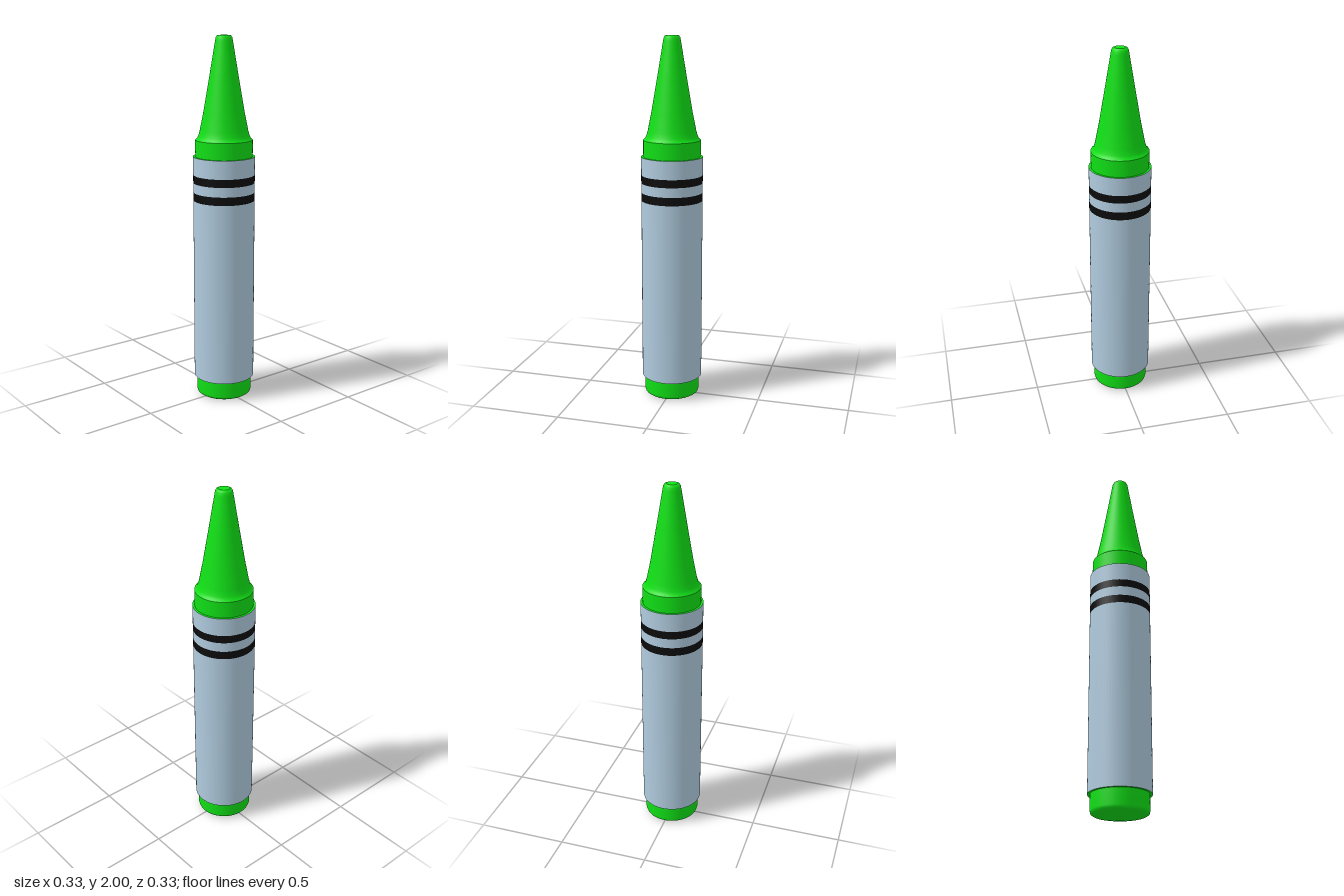
import * as THREE from 'three';

const SEGMENTS = 64;

export function createModel() {
  const model = new THREE.Group();
  const wax = new THREE.MeshStandardMaterial({ color: 0x10e015 });
  const paper = new THREE.MeshStandardMaterial({ color: 0xb0cbde });
  const ink = new THREE.MeshStandardMaterial({ color: 0x0c0c0c });

  // Turned surface from [radius, height] pairs, listed from bottom to top
  function turn(name, material, profile) {
    const points = profile.map(([r, y]) => new THREE.Vector2(r, y));
    const mesh = new THREE.Mesh(new THREE.LatheGeometry(points, SEGMENTS), material);
    mesh.name = name;
    model.add(mesh);
  }

  const R = 0.167;

  // Wax butt with a softly rounded lower edge
  turn('buttEnd', wax, [[0, 0], [0.11, 0.003], [0.14, 0.007], [0.149, 0.013], [0.153, 0.026], [0.153, 0.11]]);
  turn('lowerStep', wax, [[0.153, 0.11], [R, 0.11]]);

  // Paper wrapper with two printed bands, stacked flush
  const heights = [0.11, 1.12, 1.165, 1.217, 1.26, 1.36];
  for (let i = 0; i < heights.length - 1; i++) {
    const isBand = i % 2 === 1;
    turn(isBand ? 'band' : 'wrapper', isBand ? ink : paper, [[R, heights[i]], [R, heights[i + 1]]]);
  }

  // Step and collar below the tip
  turn('upperStep', wax, [[R, 1.36], [0.155, 1.36]]);
  turn('collar', wax, [[0.155, 1.36], [0.155, 1.45]]);

  // Tapered tip: flared shoulder, long cone and rounded flat top
  turn('tip', wax, [
    [0.155, 1.45], [0.145, 1.458], [0.138, 1.472], [0.13, 1.5], [0.11, 1.6], [0.0755, 1.8],
    [0.047, 1.97], [0.044, 1.987], [0.038, 1.997], [0.03, 2],
  ]);
  turn('tipTop', wax, [[0.03, 2], [0, 2]]);

  return model;
}
